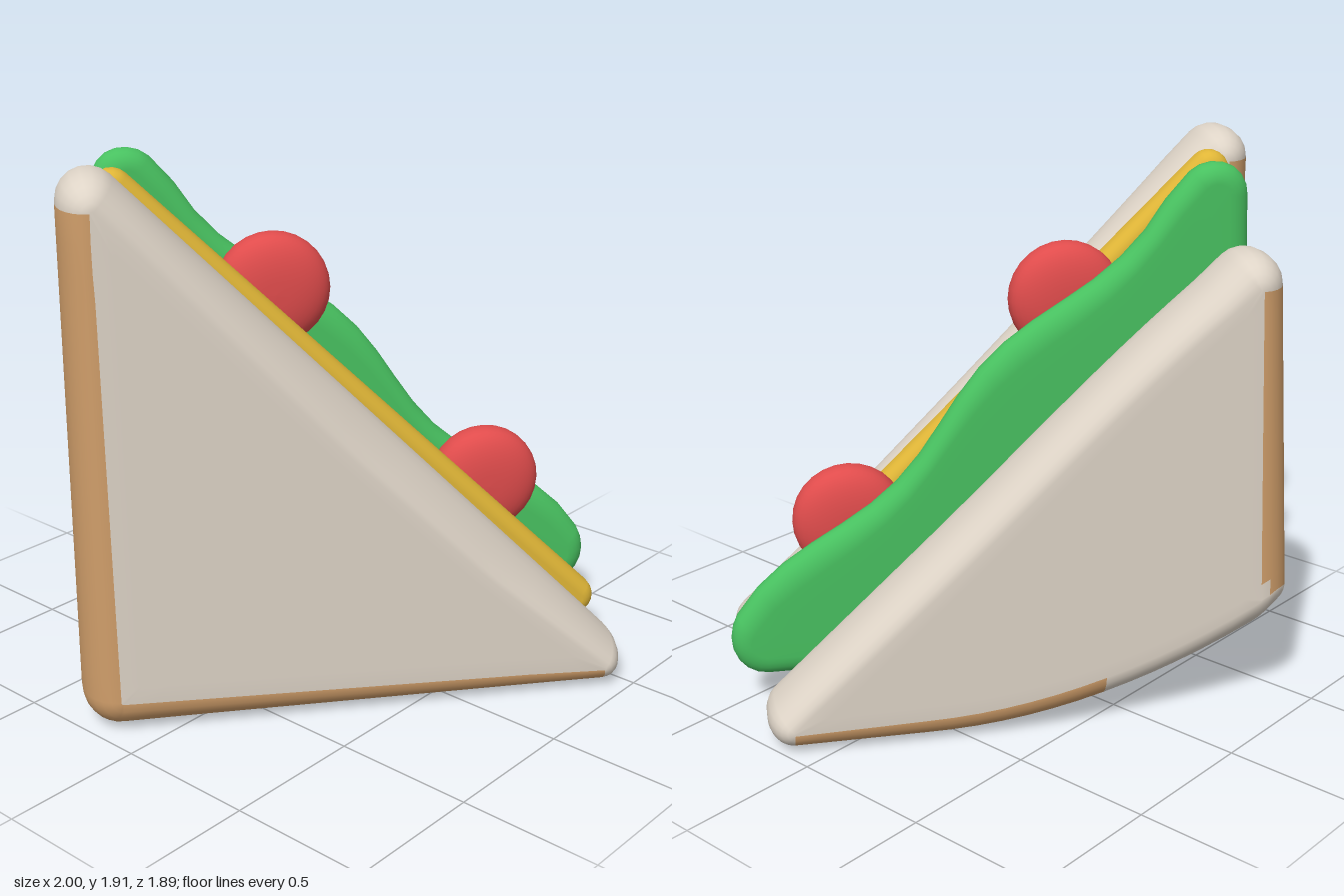
import * as THREE from 'three';

const mat = (name, color) => Object.assign(new THREE.MeshStandardMaterial({ color }), { name });
const clamp01 = (v) => Math.min(1, Math.max(0, v));

// Rounded triangle outline; corners are [x, y, radius]: A square corner, B far tip, C top.
// shrink (0..1) pulls every corner radius in. Each point is tagged with
// whether the edge that follows it is a crust edge.
function outline(A, B, C, shrink) {
  const hyp = Math.atan2(B[0] - C[0], C[1] - B[1]);
  const corners = [
    { c: A, from: Math.PI, to: 1.5 * Math.PI, arcCrust: true, edgeCrust: true },
    { c: B, from: -0.5 * Math.PI, to: hyp, arcCrust: false, edgeCrust: false },
    { c: C, from: hyp, to: Math.PI, arcCrust: false, edgeCrust: true },
  ];
  const arcN = 7, edgeN = 18, pts = [];
  const at = (c, a) => {
    const r = c[2] * (1 - shrink);
    return [c[0] + r * Math.cos(a), c[1] + r * Math.sin(a)];
  };
  corners.forEach((k, i) => {
    for (let j = 0; j < arcN; j++) {
      pts.push({ p: at(k.c, k.from + (k.to - k.from) * j / arcN), crust: k.arcCrust });
    }
    const next = corners[(i + 1) % 3], s = at(k.c, k.to), e = at(next.c, next.from);
    for (let j = 0; j < edgeN; j++) {
      const t = j / edgeN;
      pts.push({ p: [s[0] + (e[0] - s[0]) * t, s[1] + (e[1] - s[1]) * t], crust: k.edgeCrust });
    }
  });
  return pts;
}

// Thick triangular slice lofted from shrinking outlines, with rounded rims.
// Group 0 is the filling of the slice, group 1 the rim along the two legs.
function sliceGeometry({ A, B, C, shrink, depth, half, deform = () => {}, bare = () => false }) {
  const rings = [];
  const mid = [0, 1].map((i) => (A[i] + B[i] + C[i]) / 3);
  for (const s of [0, 0.45, 0.88]) rings.push({ shrink, z: -half, s });
  const steps = 6;
  for (let i = 0; i <= steps; i++) {
    const a = (i / steps) * Math.PI / 2;
    rings.push({ shrink: shrink * (1 - Math.sin(a)), z: depth - half - depth * Math.cos(a), s: 1 });
  }
  rings.push(...rings.map((g) => ({ ...g, z: -g.z })).reverse());

  const pos = [], plain = [], crust = [], verts = [];
  const tags = outline(A, B, C, 0), n = tags.length;
  for (const g of rings) {
    for (const { p } of outline(A, B, C, g.shrink)) {
      const v = new THREE.Vector3(mid[0] + (p[0] - mid[0]) * g.s, mid[1] + (p[1] - mid[1]) * g.s, g.z);
      deform(v);
      verts.push(v);
      pos.push(v.x, v.y, v.z);
    }
  }
  for (let k = 0; k < rings.length - 1; k++) {
    const rim = rings[k].s === 1 && rings[k + 1].s === 1;
    for (let j = 0; j < n; j++) {
      const a = k * n + j, b = k * n + (j + 1) % n;
      const isCrust = rim && tags[j].crust && !bare(verts[a]);
      (isCrust ? crust : plain).push(a, b, b + n, a, b + n, a + n);
    }
  }
  const geo = new THREE.BufferGeometry();
  geo.setAttribute('position', new THREE.Float32BufferAttribute(pos, 3));
  geo.setIndex([...plain, ...crust]);
  geo.addGroup(0, plain.length, 0);
  geo.addGroup(plain.length, crust.length, 1);
  geo.computeVertexNormals();
  return geo;
}

export function createModel() {
  const bread = mat('bread', 0xded4c7);
  const crust = mat('crust', 0xd09e6a);
  const cheese = mat('cheese', 0xe0b637);
  const lettuce = mat('lettuce', 0x48c160);
  const tomato = mat('tomato', 0xe04c4c);

  // Everything is stacked along local z, then the stack is turned about y.
  const model = new THREE.Group();
  model.name = 'sandwich';
  const stack = new THREE.Group();
  stack.name = 'stack';
  stack.rotation.y = -0.66;
  model.add(stack);

  const add = (name, geo, material, x, y, z) => {
    const m = new THREE.Mesh(geo, material);
    m.name = name;
    m.position.set(x, y, z);
    stack.add(m);
    return m;
  };

  // Front bread slice, its cut edge worn back on the outer side
  add('frontBread', sliceGeometry({
    A: [-0.8, 0.13, 0.13], B: [0.895, 0.085, 0.085], C: [-0.825, 1.805, 0.105],
    shrink: 0.94, depth: 0.15, half: 0.17,
    deform: (v) => {
      const near = clamp01(1 - (1.1 - v.x - v.y) / 0.4);
      const along = clamp01(v.y / 0.5) * clamp01((1.8 - v.y) / 0.8);
      const w = 0.045 * near * along * clamp01(v.z / 0.17);
      v.x -= w;
      v.y -= w;
    },
  }), [bread, crust], 0, 0, 0.335);

  // Back bread slice, lower, with its square corner bent upwards and bare outside
  add('backBread', sliceGeometry({
    A: [-0.77, 0.13, 0.13], B: [0.82, 0.085, 0.085], C: [-0.725, 1.525, 0.105],
    shrink: 0.94, depth: 0.14, half: 0.16,
    deform: (v) => {
      const t = clamp01((0.35 - v.x) / 1.2);
      v.y += t * t * (0.33 - 0.3 * v.z) * clamp01(1 - v.y / 1.5);
    },
    bare: (v) => v.z < -0.05 && v.x < -0.3 && v.y < 0.5,
  }), [bread, crust], 0, 0, -0.39);

  // Cheese
  add('cheese', sliceGeometry({
    A: [-0.74, 0.19, 0.07], B: [0.89, 0.19, 0.07], C: [-0.74, 1.79, 0.07],
    shrink: 0.7, depth: 0.05, half: 0.058,
  }), [cheese, cheese], 0, 0, 0.122);

  // Lettuce with a wavy cut edge
  add('lettuce', sliceGeometry({
    A: [-0.69, 0.24, 0.12], B: [0.88, 0.24, 0.12], C: [-0.68, 1.75, 0.12],
    shrink: 0.6, depth: 0.055, half: 0.06,
    deform: (v) => {
      const near = clamp01(1 - (1.31 - v.x - v.y) / 0.5);
      const ends = clamp01((v.y - 0.15) / 0.2) * clamp01((1.87 - v.y) / 0.2);
      const w = 0.032 * near * ends * Math.cos((v.x - 0.05) * 2 * Math.PI / 0.8);
      v.x += w;
      v.y += w;
    },
  }), [lettuce, lettuce], 0, 0, -0.14);

  // Fat tomato discs squeezed between cheese and lettuce
  const profile = [];
  for (let i = 0; i <= 20; i++) {
    const a = -Math.PI / 2 + (i / 20) * Math.PI;
    const bulge = (v) => Math.sign(v) * Math.abs(v) ** 0.8;
    profile.push(new THREE.Vector2(i % 20 ? 0.2 * bulge(Math.cos(a)) : 0, 0.092 * bulge(Math.sin(a))));
  }
  for (const [i, x, y] of [[1, -0.2, 1.39], [2, 0.57, 0.625]]) {
    add('tomato' + i, new THREE.LatheGeometry(profile, 28), tomato, x, y, -0.012).rotation.x = Math.PI / 2;
  }
  return model;
}
